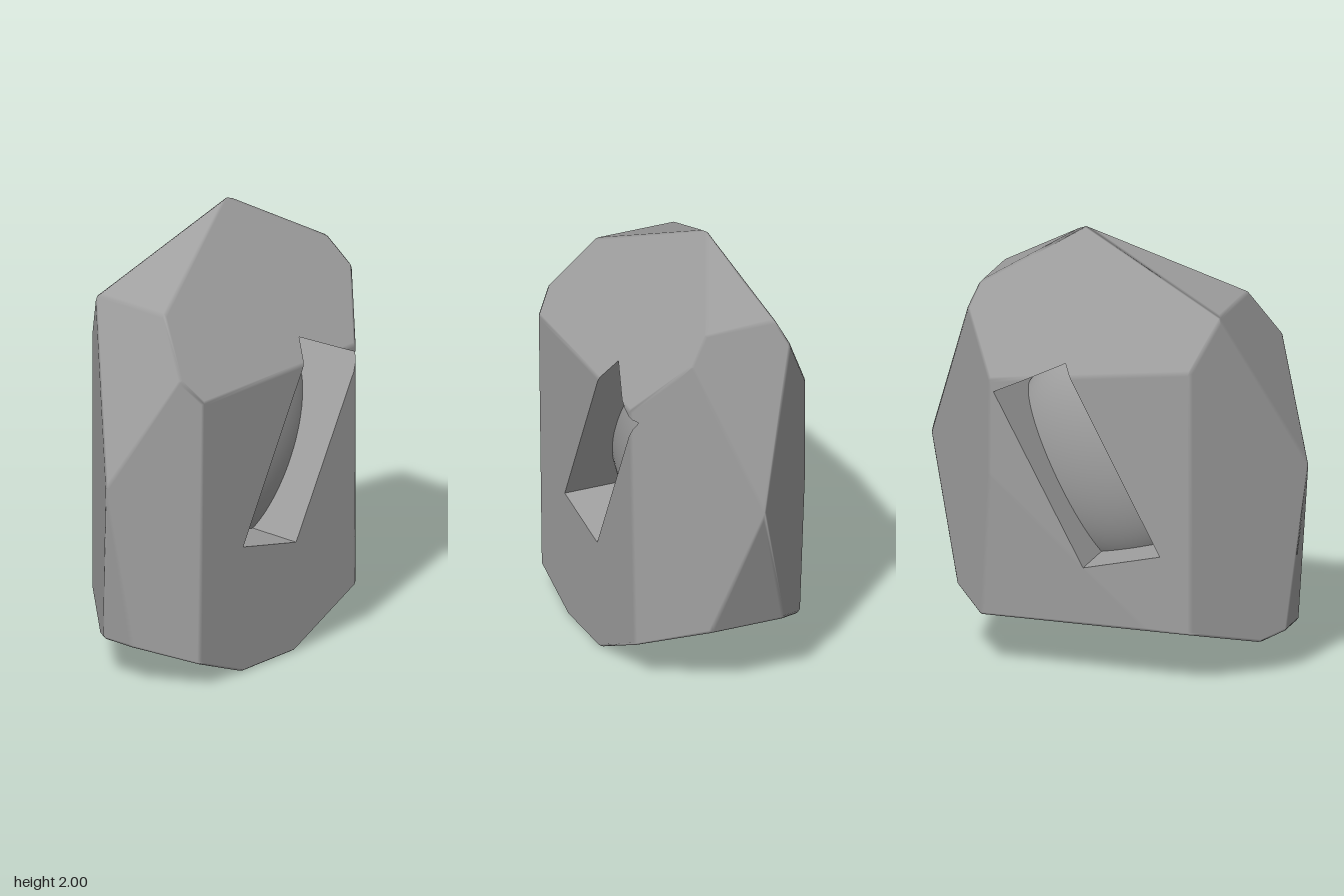
import * as THREE from 'three';

const V = (x, y, z) => new THREE.Vector3(x, y, z);
const CENTRE = V(0, 0.95, 0);

// Plane through three points, facing away from the middle of the boulder
function facet([a, b, c]) {
  const plane = new THREE.Plane().setFromCoplanarPoints(V(...a), V(...b), V(...c));
  return plane.distanceToPoint(CENTRE) > 0 ? plane.negate() : plane;
}

// Keep the part of a convex polygon that lies behind a plane
function clip(poly, plane) {
  const out = [];
  poly.forEach((p, i) => {
    const q = poly[(i + 1) % poly.length];
    const dp = plane.distanceToPoint(p), dq = plane.distanceToPoint(q);
    if (dp <= 1e-7) out.push(p);
    if ((dp < -1e-7 && dq > 1e-7) || (dp > 1e-7 && dq < -1e-7)) out.push(p.clone().lerp(q, dp / (dp - dq)));
  });
  return out.length > 2 ? out : [];
}

// Large square lying on a plane
function sheet(plane) {
  const n = plane.normal;
  const u = V(0, 1, 0).cross(n);
  if (u.length() < 0.01) u.set(1, 0, 0);
  u.normalize();
  const v = n.clone().cross(u);
  const o = plane.projectPoint(CENTRE, V());
  return [[-4, -4], [4, -4], [4, 4], [-4, 4]].map(([s, t]) => o.clone().addScaledVector(u, s).addScaledVector(v, t));
}

// Polygon of one plane inside all the others
const face = (plane, planes) =>
  planes.reduce((poly, other) => (other === plane ? poly : clip(poly, other)), sheet(plane));

// Fan-triangulated geometry from convex polygons
function polygons(list) {
  const pos = [], nor = [];
  for (const { poly, normalAt } of list) {
    for (let i = 1; i < poly.length - 1; i++) {
      for (const p of [poly[0], poly[i], poly[i + 1]]) {
        pos.push(p.x, p.y, p.z);
        nor.push(...normalAt(p).toArray());
      }
    }
  }
  const g = new THREE.BufferGeometry();
  g.setAttribute('position', new THREE.Float32BufferAttribute(pos, 3));
  g.setAttribute('normal', new THREE.Float32BufferAttribute(nor, 3));
  return g;
}

export function createModel() {
  const group = new THREE.Group();
  group.name = 'boulder';
  const stone = new THREE.MeshStandardMaterial({ color: 0xa0a0a0 });
  stone.name = 'stone grey';

  // Facets of the boulder
  const apex = [0.12, 2.008, -0.09];
  const base = [
    [[-0.59, 1.36, 0.405], [0.41, 1.35, 0.412], [0.03, 0, 0.39]],              // front
    [[-0.59, 1.36, 0.405], [0.41, 1.35, 0.412], apex],                         // front slope
    [[0.41, 1.35, 0.412], [0.86, 0.96, -0.04], [0.43, 0.2, 0.392]],            // front, +x side
    [[-0.59, 1.36, 0.405], [-0.865, 0.95, 0.07], [-0.59, 0.12, 0.395]],        // front, -x side
    [[0.57, 1.74, 0.11], [0.57, 1.74, -0.21], [0.86, 0.96, -0.04]],            // upper +x
    [[-0.56, 1.7, 0.14], [-0.56, 1.7, -0.25], [-0.865, 0.95, 0.07]],           // upper -x
    [[0.57, 1.74, 0.11], [0.57, 1.74, -0.21], apex],                           // top +x
    [[-0.56, 1.7, 0.14], [-0.56, 1.7, -0.25], apex],                           // top -x
    [apex, [-0.56, 1.7, -0.25], [0.46, 1.36, -0.415]],                         // back slope
    [[0.46, 1.36, -0.42], [0.86, 0.96, -0.04], [0.46, 0.5, -0.42]],            // back, +x side
    [[-0.46, 1.44, -0.37], [-0.865, 0.95, 0.07], [-0.46, 0.25, -0.37]],        // back, -x side
    [[-0.46, 1.44, -0.37], [-0.46, 0.25, -0.37], [0.46, 1.36, -0.418]],        // back
    [[0.45, 0.9, -0.417], [-0.23, 0.27, -0.381], [0.51, 0.28, -0.372]],        // lower back
    [[-0.3, 0, 0.39], [0.03, 0, 0.39], [0, 0.25, -0.37]],                      // underside
    [[0.03, 0, 0.39], [0.68, 0.32, 0.15], [0.68, 0.32, -0.21]],                // lower +x slope
    [[-0.79, 0.2, 0.15], [-0.79, 0.2, 0], [-0.3, 0, 0.39]],                    // lower -x slope
    [[0.68, 0.32, 0.15], [0.68, 0.32, -0.21], [0.86, 0.96, -0.04]],            // lower +x
    [[-0.79, 0.2, 0.15], [-0.79, 0.2, 0], [-0.865, 0.95, 0.07]],               // lower -x
  ].map(facet);

  // Narrow bevel along every edge shared by two facets
  const sharp = base.map((p) => face(p, base));
  const planes = [...base];
  base.forEach((a, i) => base.slice(i + 1).forEach((b) => {
    const edge = sharp[i].filter((p) => Math.abs(b.distanceToPoint(p)) < 1e-4);
    if (edge.length < 2 || edge[0].distanceTo(edge[1]) < 0.02) return;
    const n = a.normal.clone().add(b.normal).normalize();
    const inset = 0.006 * a.normal.distanceTo(b.normal);
    planes.push(new THREE.Plane(n, inset - n.dot(edge[0])));
  }));

  // Slanted slot running straight through from front to back
  const slot = [[0.12, 1.45], [-0.32, 0.6], [0.03, 0.52], [0.44, 1.3]];
  const slotSides = slot.map(([x, y], i) => {
    const [x2, y2] = slot[(i + 1) % 4];
    const n = V(y2 - y, x - x2, 0).normalize();
    return new THREE.Plane(n, -n.dot(V(x, y, 0)));
  });

  // Outer shell with the slot cut from every facet it crosses; bevels blend the neighbouring normals
  const shell = [];
  planes.forEach((plane, i) => {
    const nearest = (p) => base.reduce((m, b) => (b.distanceToPoint(p) > m.distanceToPoint(p) ? b : m)).normal;
    const normalAt = i < base.length ? () => plane.normal : nearest;
    let rest = face(plane, planes);
    for (const side of slotSides) {
      shell.push({ poly: clip(rest, side.clone().negate()), normalAt });
      rest = clip(rest, side);
    }
  });
  const rock = new THREE.Mesh(polygons(shell), stone);
  rock.name = 'rockShell';
  group.add(rock);

  // Slot walls, trimmed to the shell and facing into the slot
  const walls = slotSides.map((side) => {
    const inward = side.clone().negate();
    const others = slotSides.filter((s) => s !== side);
    return { poly: face(inward, [...planes, ...others]), normalAt: () => inward.normal };
  });
  const lining = new THREE.Mesh(polygons(walls), stone);
  lining.name = 'slotWalls';
  group.add(lining);

  // Smooth flattened core seen inside the slot
  const core = new THREE.Mesh(new THREE.SphereGeometry(1, 64, 40), stone);
  core.name = 'core';
  core.scale.set(0.485, 0.525, 0.25);
  core.position.copy(CENTRE);
  group.add(core);

  return group;
}
